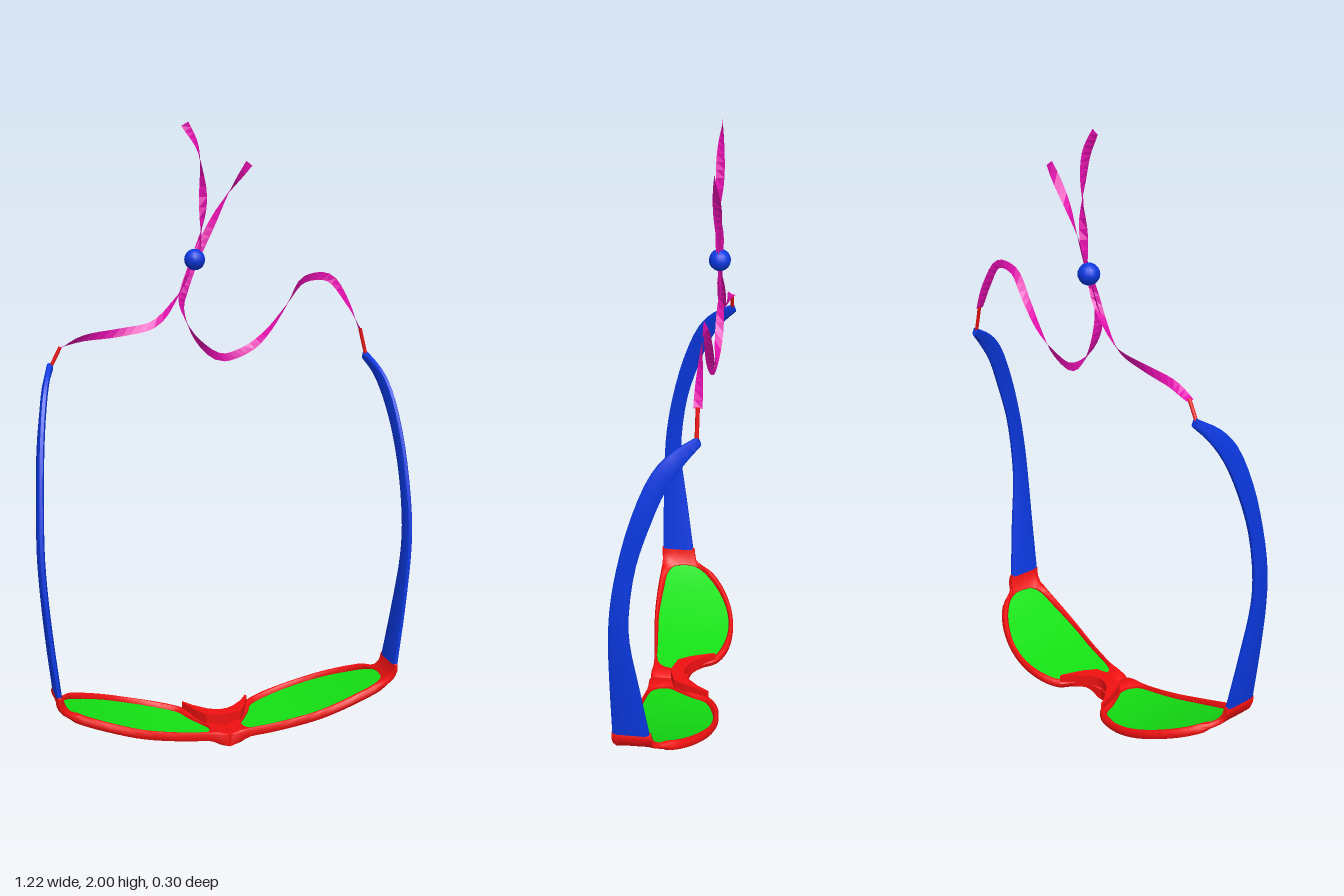
import * as THREE from 'three';
import { toCreasedNormals } from 'three/addons/utils/BufferGeometryUtils.js';

const V = (x, y, z) => new THREE.Vector3(x, y, z);
const paint = (color, extra = {}) => new THREE.MeshStandardMaterial({ color, ...extra });
const RED = paint(0xf01010);
const BLUE = paint(0x0a38e0);
const GREEN = paint(0x14e014, { side: THREE.DoubleSide });
const PINK = paint(0xe610b0, { side: THREE.DoubleSide, flatShading: true });

// Skin a list of cross-section rings; loop joins last ring to first, caps closes the ends
function loft(rings, { loop = false, caps = false, crease = 0.6 } = {}) {
  const n = rings[0].length, m = rings.length, pts = rings.flat(), idx = [];
  for (let i = 0; i < (loop ? m : m - 1); i++) {
    for (let j = 0; j < n; j++) {
      const a = i * n + j, b = i * n + (j + 1) % n;
      const c = ((i + 1) % m) * n + j, d = ((i + 1) % m) * n + (j + 1) % n;
      idx.push(a, b, d, a, d, c);
    }
  }
  if (caps) {
    const e = (m - 1) * n;
    for (let j = 1; j < n - 1; j++) idx.push(0, j + 1, j, e, e + j, e + j + 1);
  }
  // A negative volume means the faces point inward, so turn them over
  let volume = 0;
  const cross = new THREE.Vector3();
  for (let i = 0; i < idx.length; i += 3) {
    volume += pts[idx[i]].dot(cross.crossVectors(pts[idx[i + 1]], pts[idx[i + 2]]));
  }
  if (volume < 0) idx.reverse();
  const g = new THREE.BufferGeometry().setFromPoints(pts);
  g.setIndex(idx);
  g.computeVertexNormals();
  return toCreasedNormals(g, crease);
}

// Wrap curve of the face of the glasses: distance u from the middle -> x, y
const wrap = new THREE.CatmullRomCurve3([
  [0, 0.035], [0.07, 0.042], [0.15, 0.053], [0.28, 0.082], [0.41, 0.126],
  [0.5, 0.163], [0.545, 0.19], [0.56, 0.215], [0.56, 0.245],
].map(([x, y]) => V(x, y, 0)), false, 'centripetal');
const END = wrap.getLength();
function onWrap(side, u, z, offset) {
  const t = THREE.MathUtils.clamp(u / END, 0, 1);
  const p = wrap.getPointAt(t), d = wrap.getTangentAt(t);
  const x = t === 0 ? 0 : Math.max(0, p.x - d.y * offset);
  return V(side * x, p.y + d.x * offset, z);
}

// Matching outlines of one half of the rim, as [u, z]
const outer = [
  [0, 0.108], [0.08, 0.112], [0.2, 0.127], [0.32, 0.143], [0.45, 0.148], [0.56, 0.145], [0.64, 0.143],
  [0.64, 0.09], [0.64, 0.03], [0.585, 0.02], [0.53, -0.05], [0.46, -0.1], [0.36, -0.14], [0.26, -0.153],
  [0.167, -0.14], [0.11, -0.108], [0.085, -0.065], [0.045, -0.022], [0, -0.007], [0, 0.05],
];
const inner = [
  [0.08, 0.095], [0.11, 0.105], [0.2, 0.115], [0.32, 0.128], [0.45, 0.126], [0.52, 0.12], [0.55, 0.1],
  [0.557, 0.07], [0.557, 0.03], [0.545, 0], [0.515, -0.035], [0.45, -0.083], [0.36, -0.123], [0.265, -0.136],
  [0.185, -0.122], [0.13, -0.095], [0.105, -0.045], [0.075, 0.005], [0.057, 0.035], [0.06, 0.07],
];
const STEPS = 80;
const smooth = (list) => new THREE.CatmullRomCurve3(list.map(([u, z]) => V(u, 0, z)), true, 'centripetal')
  .getPoints(STEPS).slice(0, STEPS);
const outerLine = smooth(outer), innerLine = smooth(inner);

// Rim section: [fraction from lens to outside, offset along the normal]
const rimSection = [[0, -0.007], [0.3, -0.014], [0.7, -0.014], [1, -0.006], [1, 0.008], [0.7, 0.015], [0.3, 0.015], [0, 0.008]];
function rim(side) {
  return loft(outerLine.map((o, i) => rimSection.map(([f, k]) => {
    const p = innerLine[i].clone().lerp(o, f), u = Math.max(0, p.x);
    const thin = u > 0.54 ? 0.65 : 1;
    const q = onWrap(side, u, p.z, k * thin);
    if (k < 0) q.y -= 0.029 * Math.max(0, 1 - u / 0.06); // keel below the bridge
    return q;
  })), { loop: true, crease: 0.8 });
}

function lens(side) {
  const mid = V(0.31, 0, 0);
  return loft([1.015, 0.8, 0.6, 0.4, 0.2, 0.001].map((s) => innerLine.map((p) => {
    const q = mid.clone().lerp(p, s);
    return onWrap(side, q.x, q.z, 0);
  })), { crease: 1 });
}

// Temple: front edge and back edge, narrowing and hooking backward
const templeFront = new THREE.CatmullRomCurve3([
  V(0.56, 0.24, 0.145), V(0.583, 0.44, 0.145), V(0.597, 0.6, 0.143), V(0.601, 0.72, 0.135), V(0.596, 0.86, 0.112),
  V(0.585, 1.02, 0.07), V(0.567, 1.15, 0.015), V(0.55, 1.21, -0.037), V(0.528, 1.255, -0.11)]);
const templeBack = new THREE.CatmullRomCurve3([
  V(0.56, 0.24, 0.03), V(0.583, 0.44, 0.058), V(0.597, 0.6, 0.08), V(0.601, 0.7, 0.08), V(0.596, 0.86, 0.058),
  V(0.585, 1.0, 0.015), V(0.567, 1.11, -0.03), V(0.55, 1.185, -0.08), V(0.528, 1.23, -0.12)]);
const templeSection = [[0, -0.005], [0.15, -0.01], [0.85, -0.01], [1, -0.005], [1, 0.005], [0.85, 0.01], [0.15, 0.01], [0, 0.005]];
function temple(side) {
  const rings = [];
  for (let i = 0; i <= 24; i++) {
    const a = templeFront.getPoint(i / 24), b = templeBack.getPoint(i / 24);
    rings.push(templeSection.map(([f, dx]) => {
      const p = a.clone().lerp(b, f);
      return V(side * (p.x + dx), p.y, p.z);
    }));
  }
  return loft(rings, { caps: true });
}

// Raised nose rest around the notch, drawn in x and z and extruded upward
function noseRest() {
  const notch = [[0.11, -0.105], [0.085, -0.065], [0.045, -0.024], [0.02, -0.01]];
  const edge = [[0.02, 0.035], [0.06, 0.022], [0.085, -0.02], [0.113, -0.095]];
  const half = [...notch, [0, -0.007]];
  const loop = [...half, ...notch.map(([x, z]) => [-x, z]).reverse(),
    ...edge.map(([x, z]) => [-x, z]).reverse(), [0, 0.04], ...edge];
  const shape = new THREE.Shape(loop.map(([x, z]) => new THREE.Vector2(x, -z)));
  const g = new THREE.ExtrudeGeometry(shape, { depth: 0.036, bevelEnabled: false });
  return g.rotateX(-Math.PI / 2).translate(0, 0.048, 0);
}

// Flat cord: each point is [x, y, half turns of twist]; 0 is edge-on from the front
const CORD_Z = -0.108;
function ribbon(list, steps) {
  const path = new THREE.CatmullRomCurve3(list.map((p) => V(...p)));
  const pos = [], idx = [];
  for (let i = 0; i <= steps; i++) {
    const p = path.getPoint(i / steps), d = path.getTangent(i / steps).setZ(0).normalize();
    const a = p.z * Math.PI, w = 0.013;
    const side = V(-d.y * Math.sin(a), d.x * Math.sin(a), Math.cos(a)).multiplyScalar(w);
    pos.push(V(p.x, p.y, CORD_Z).add(side), V(p.x, p.y, CORD_Z).sub(side));
    if (i) idx.push(2 * i - 2, 2 * i - 1, 2 * i, 2 * i - 1, 2 * i + 1, 2 * i);
  }
  const g = new THREE.BufferGeometry().setFromPoints(pos);
  g.setIndex(idx);
  g.computeVertexNormals();
  return g;
}
const rightCord = [[-0.5, 1.3, 0], [-0.42, 1.33, 0.3], [-0.3, 1.345, 0.55], [-0.2, 1.365, 0.7], [-0.12, 1.45, 1],
  [-0.06, 1.57, 1.5], [-0.01, 1.67, 1.7], [0.04, 1.76, 2], [0.12, 1.87, 2.45]];
const leftCord = [[0.505, 1.33, 0], [0.46, 1.42, 0.25], [0.39, 1.505, 0.5], [0.31, 1.5, 0.65], [0.25, 1.42, 0.92],
  [0.19, 1.34, 1.1], [0.11, 1.275, 1.4], [0.04, 1.253, 1.5], [-0.05, 1.31, 1.85], [-0.1, 1.41, 2.2],
  [-0.09, 1.49, 2.6], [-0.06, 1.57, 2.7], [-0.035, 1.7, 3.3], [-0.035, 1.83, 3.9], [-0.05, 1.92, 4.2], [-0.09, 1.99, 4.5]];

export function createModel() {
  const model = new THREE.Group();
  model.name = 'sunglassesWithCord';
  const add = (name, geometry, material) => {
    const mesh = new THREE.Mesh(geometry, material);
    mesh.name = name;
    model.add(mesh);
    return mesh;
  };

  for (const [name, side] of [['left', 1], ['right', -1]]) {
    add(name + 'Rim', rim(side), RED);
    add(name + 'Lens', lens(side), GREEN);
    add(name + 'Temple', temple(side), BLUE);
    // Short loop joining the cord to the temple tip
    const tip = side > 0 ? V(0.505, 1.335, CORD_Z) : V(-0.495, 1.305, CORD_Z);
    const link = new THREE.LineCurve3(V(side * 0.529, 1.24, CORD_Z), tip);
    add(name + 'CordLink', new THREE.TubeGeometry(link, 1, 0.006, 6), RED);
  }
  add('noseRest', noseRest(), RED);
  add('rightCord', ribbon(rightCord, 32), PINK);
  add('leftCord', ribbon(leftCord, 60), PINK);
  add('cordBead', new THREE.SphereGeometry(0.034, 14, 10), BLUE).position.set(-0.06, 1.57, CORD_Z);
  return model;
}
